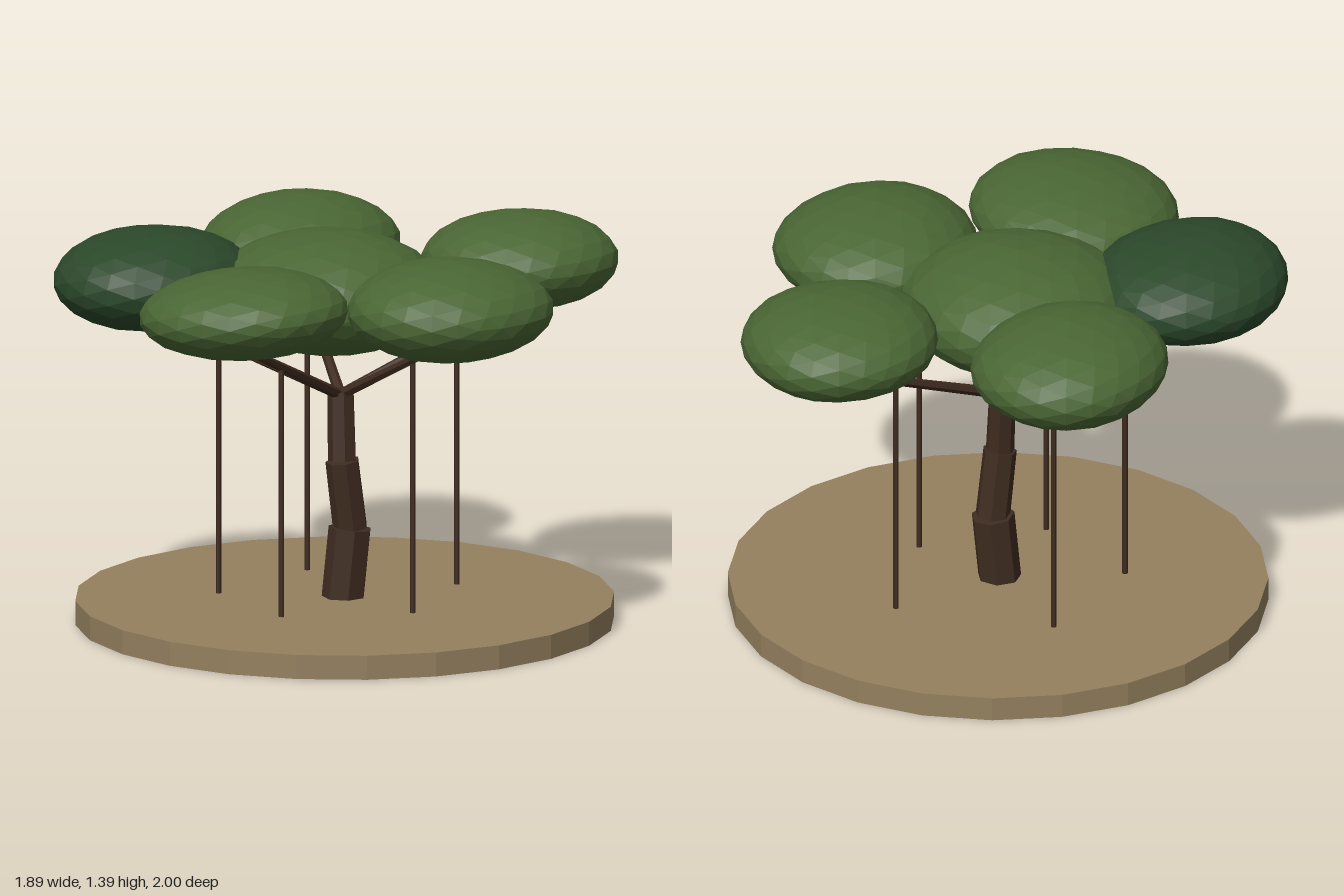
import * as THREE from 'three';

const material = (color) => new THREE.MeshStandardMaterial({ color, flatShading: true });

// Straight tapered rod between two points
function rod(name, from, to, r0, r1, sides, mat) {
  const a = new THREE.Vector3(...from), b = new THREE.Vector3(...to);
  const dir = b.clone().sub(a);
  const mesh = new THREE.Mesh(new THREE.CylinderGeometry(r1, r0, dir.length(), sides), mat);
  mesh.position.copy(a).add(b).multiplyScalar(0.5);
  mesh.quaternion.setFromUnitVectors(new THREE.Vector3(0, 1, 0), dir.normalize());
  mesh.name = name;
  return mesh;
}

// Flattened, slightly lumpy faceted ball
function foliage(name, center, radii, phase, tilt, mat) {
  const geo = new THREE.IcosahedronGeometry(1, 3);
  const pos = geo.attributes.position;
  const v = new THREE.Vector3();
  for (let i = 0; i < pos.count; i++) {
    v.fromBufferAttribute(pos, i);
    const lump = 1 + 0.018 * Math.sin(3 * v.x + phase) * Math.cos(3 * v.z - phase);
    pos.setXYZ(i, v.x * lump * radii[0], v.y * lump * radii[1], v.z * lump * radii[2]);
  }
  geo.computeVertexNormals();
  const mesh = new THREE.Mesh(geo, mat);
  mesh.position.set(...center);
  mesh.rotation.z = tilt;
  mesh.name = name;
  return mesh;
}

export function createModel() {
  const model = new THREE.Group();
  model.name = 'umbrellaTree';
  const soil = material(0x94805f);
  const bark = material(0x3f2c20);
  const leaf = material(0x4a6634);
  const darkLeaf = material(0x2b482a);

  // Round ground slab
  const groundTop = 0.086;
  const ground = new THREE.Mesh(new THREE.CylinderGeometry(0.945, 0.945, groundTop, 24), soil);
  ground.position.y = groundTop / 2;
  ground.name = 'ground';
  model.add(ground);

  // Crooked trunk in three stacked pieces
  const joints = [[-0.005, 0.08, 0], [0.01, 0.33, -0.02], [0, 0.575, 0.012], [-0.02, 0.815, -0.004]];
  const trunkRadii = [[0.077, 0.077], [0.062, 0.06], [0.051, 0.048]];
  const trunk = new THREE.Group();
  trunk.name = 'trunk';
  trunkRadii.forEach(([r0, r1], i) =>
    trunk.add(rod('trunkPiece', joints[i], joints[i + 1], r0, r1, 7, bark)));
  model.add(trunk);

  // Central crown
  model.add(foliage('centreFoliage', [-0.08, 1.17, 0.005], [0.42, 0.213, 0.41], 0.4, 0, leaf));

  // Outer crowns, each with a branch and a hanging root
  const crowns = [
    { name: 'front', c: [0.073, 1.22, 0.63], r: [0.37, 0.156, 0.363], root: [0.04, 0.39], tilt: 0.07, mat: leaf },
    { name: 'left', c: [0.54, 1.205, 0.07], r: [0.355, 0.174, 0.375], root: [0.35, 0.045], tilt: 0, mat: leaf },
    { name: 'backLeft', c: [0.255, 1.222, -0.647], r: [0.34, 0.167, 0.353], root: [0.175, -0.4], tilt: 0, mat: leaf },
    { name: 'backRight', c: [-0.525, 1.215, -0.38], r: [0.337, 0.174, 0.377], root: [-0.37, -0.235], tilt: 0, mat: leaf },
    { name: 'frontRight', c: [-0.548, 1.215, 0.387], r: [0.338, 0.177, 0.373], root: [-0.37, 0.245], tilt: 0, mat: darkLeaf },
  ];
  crowns.forEach(({ name, c, r, root, tilt, mat }, i) => {
    model.add(foliage(name + 'Foliage', c, r, i * 1.3, tilt, mat));
    model.add(rod(name + 'Branch', [-0.02, 0.805, 0], [c[0], 1.09, c[2]], 0.02, 0.014, 6, bark));
    model.add(rod(name + 'HangingRoot', [root[0], groundTop - 0.01, root[1]],
      [root[0], 0.995, root[1]], 0.01, 0.01, 6, bark));
  });

  return model;
}
